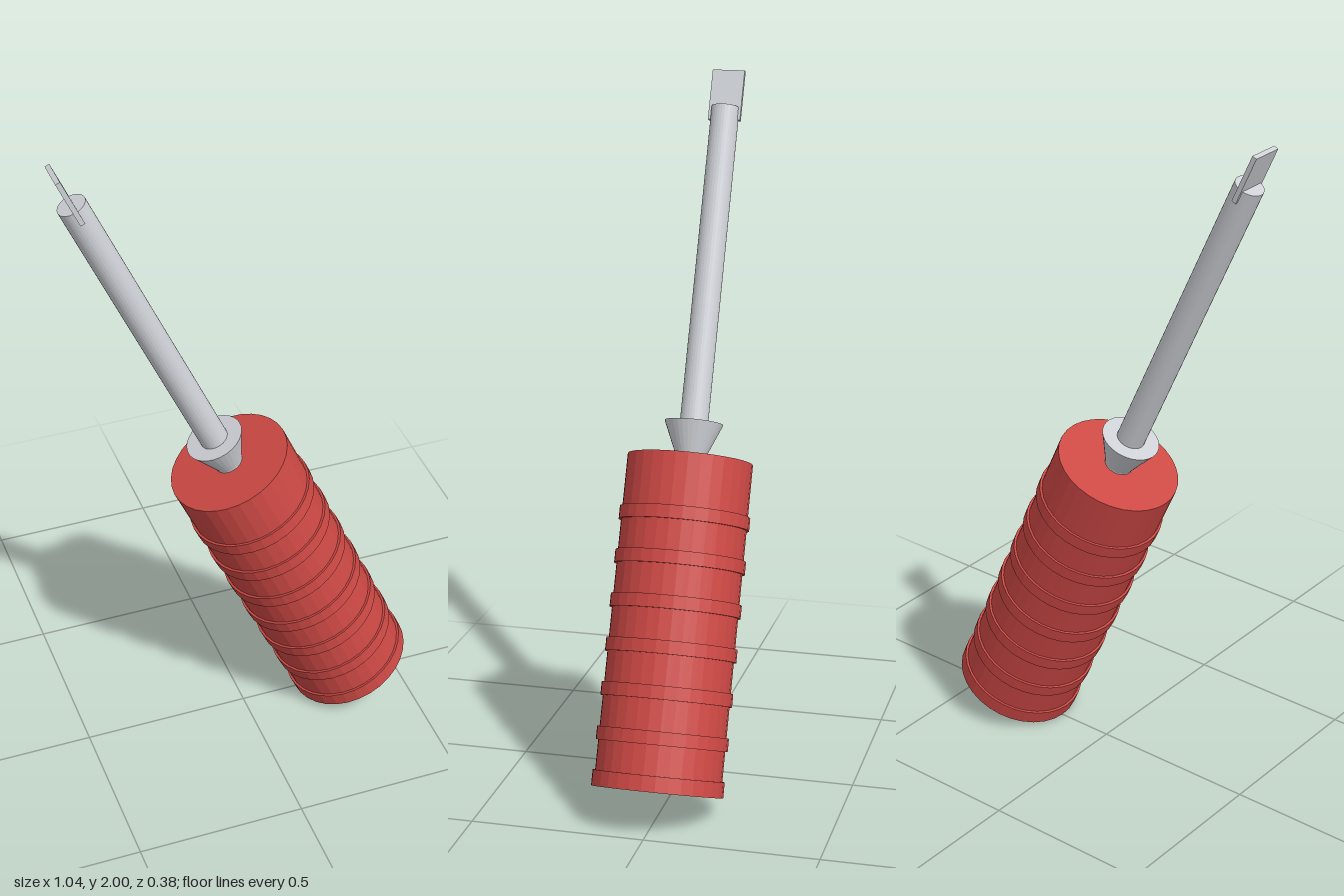
import * as THREE from 'three';

const SIDES = 32;

export function createModel() {
  const model = new THREE.Group();
  model.name = 'screwdriver';

  const red = new THREE.MeshStandardMaterial({ color: 0xcc4844 });
  red.name = 'handle red';
  const steel = new THREE.MeshStandardMaterial({ color: 0xcdd0d5 });
  steel.name = 'steel grey';

  // Everything is built upright along y, then the whole tool is tilted.
  const tool = new THREE.Group();
  tool.name = 'tiltedTool';
  tool.position.set(0.345, 0.077, 0);
  tool.rotation.z = THREE.MathUtils.degToRad(24.2);
  model.add(tool);

  // Adds a faceted part whose bottom sits at the given height
  function add(name, geometry, material, bottom, height) {
    const faceted = geometry.toNonIndexed();
    faceted.computeVertexNormals();
    const mesh = new THREE.Mesh(faceted, material);
    mesh.name = name;
    mesh.position.y = bottom + height / 2;
    tool.add(mesh);
  }

  function round(name, rTop, rBottom, bottom, top, material) {
    const h = top - bottom;
    add(name, new THREE.CylinderGeometry(rTop, rBottom, h, SIDES), material, bottom, h);
  }

  // Handle with a base rim and six grip rings
  round('handle', 0.181, 0.181, 0.01, 0.951, red);
  round('baseRim', 0.188, 0.188, 0, 0.045, red);
  for (let i = 1; i <= 6; i++) {
    const y = 0.023 + i * 0.126;
    round('gripRing' + i, 0.188, 0.188, y - 0.019, y + 0.019, red);
  }

  // Flared collar, shaft and flat blade
  round('collar', 0.085, 0.039, 0.95, 1.058, steel);
  round('shaft', 0.041, 0.041, 0.94, 1.995, steel);
  add('blade', new THREE.BoxGeometry(0.014, 0.15, 0.096), steel, 1.956, 0.15);

  return model;
}
